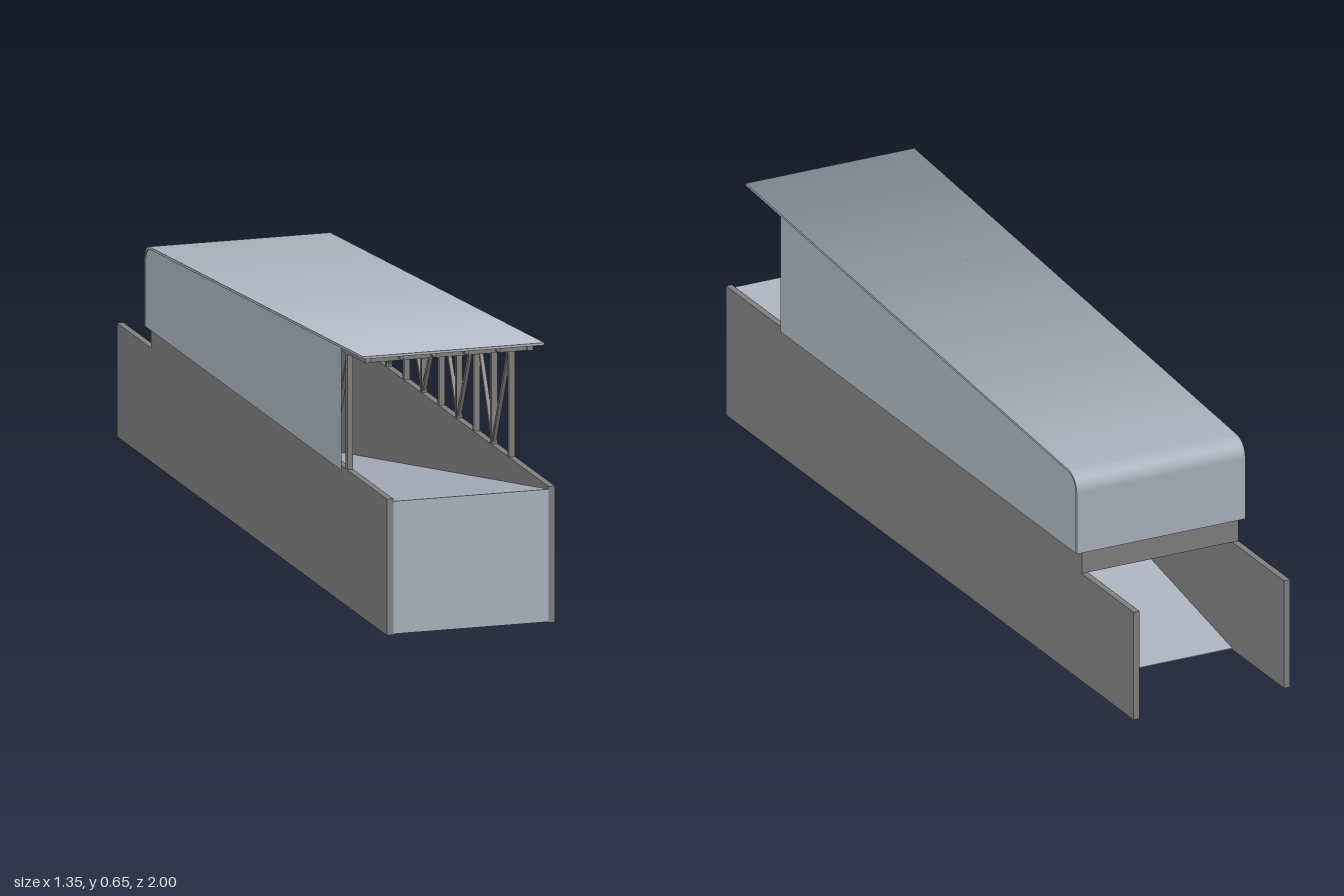
import * as THREE from 'three';
import { mergeGeometries } from 'three/addons/utils/BufferGeometryUtils.js';

const panelMat = new THREE.MeshStandardMaterial({ color: 0xabb3bf });
panelMat.name = 'pale blue grey panel';
const wallMat = new THREE.MeshStandardMaterial({ color: 0x808080 });
wallMat.name = 'concrete grey';
const frameMat = new THREE.MeshStandardMaterial({ color: 0x82807c });
frameMat.name = 'steel frame';

const FRONT = 1.026, STEP = -0.765, WALL_TOP = 0.33, HALF = 0.208, THICK = 0.016;
const ROOF_HALF = 0.224, SHELL = 0.006;
const roofY = (z) => 0.53 + (z + 0.728) * 0.0709;

function add(parent, name, geometry, material) {
  const mesh = new THREE.Mesh(geometry, material);
  mesh.name = name;
  parent.add(mesh);
  return mesh;
}

// Extrudes a (z, y) outline across x from x0 to x1
function sideExtrude(points, x0, x1) {
  const shape = new THREE.Shape(points.map(([z, y]) => new THREE.Vector2(-z, y)));
  return new THREE.ExtrudeGeometry(shape, { depth: x1 - x0, bevelEnabled: false })
    .rotateY(Math.PI / 2).translate(x0, 0, 0);
}

// Square bar between two points
function bar(a, b, w) {
  const p = new THREE.Vector3(...a), q = new THREE.Vector3(...b);
  const o = new THREE.Object3D();
  o.position.copy(p).add(q).multiplyScalar(0.5);
  o.lookAt(q);
  o.updateMatrix();
  return new THREE.BoxGeometry(w, w, p.distanceTo(q)).applyMatrix4(o.matrix);
}

// Strip of quads between two rails with given normals
function ribbon(a, b, n) {
  const pos = [], nor = [], idx = [];
  a.forEach((p, i) => {
    pos.push(...p, ...b[i]);
    nor.push(...n[i], ...n[i]);
    if (i) {
      const k = 2 * i - 2;
      idx.push(k, k + 1, k + 3, k, k + 3, k + 2);
    }
  });
  const g = new THREE.BufferGeometry();
  g.setAttribute('position', new THREE.Float32BufferAttribute(pos, 3));
  g.setAttribute('normal', new THREE.Float32BufferAttribute(nor, 3));
  g.setIndex(idx);
  return g;
}

// Roof profile: long slope, rounded rear corner, vertical rear face
function roofProfile() {
  const slope = Math.atan(0.0709);
  const rows = [{ z: 0.895, y: roofY(0.895), n: [0, Math.cos(slope), -Math.sin(slope)] }];
  for (let i = 0; i <= 10; i++) {
    const t = slope + (Math.PI / 2 - slope) * i / 10;
    const n = [0, Math.cos(t), -Math.sin(t)];
    rows.push({ z: -0.725 + 0.045 * n[2], y: 0.485 + 0.045 * n[1], n });
  }
  rows.push({ z: -0.77, y: WALL_TOP, n: [0, 0, -1] });
  return rows;
}

function roofShell(rows) {
  const outer = (x) => rows.map((r) => [x, r.y, r.z]);
  const inner = (x) => rows.map((r) => [x, r.y - r.n[1] * SHELL, r.z - r.n[2] * SHELL]);
  const flat = (n, count = rows.length) => Array(count).fill(n);
  const w = ROOF_HALF, last = rows.length - 1;
  const oL = outer(-w), oR = outer(w), iL = inner(-w), iR = inner(w);
  // the front lip shades softly into the front edge
  const top = rows.map((r, i) => (i ? r.n : [0, 0.75, 0.66]));
  const under = rows.map((r) => r.n.map((v) => -v));
  return mergeGeometries([
    ribbon(oL, oR, top),
    ribbon(iR, iL, under),
    ribbon(oR, iR, flat([1, 0, 0])),
    ribbon(iL, oL, flat([-1, 0, 0])),
    ribbon([iL[0], oL[0]], [iR[0], oR[0]], flat([0, 0, 1], 2)),
    ribbon([oL[last], iL[last]], [oR[last], iR[last]], flat([0, -1, 0], 2)),
  ]);
}

export function createModel() {
  const model = new THREE.Group();
  model.name = 'coveredRamp';
  const body = new THREE.Group();
  body.name = 'rampBody';
  body.rotation.y = -0.503;
  model.add(body);

  // Stepped retaining walls
  const wall = [[FRONT, 0], [-FRONT, 0], [-FRONT, 0.275], [STEP, 0.275], [STEP, WALL_TOP], [FRONT, WALL_TOP]];
  add(body, 'leftWall', sideExtrude(wall, HALF - THICK, HALF), wallMat);
  add(body, 'rightWall', sideExtrude(wall, -HALF, THICK - HALF), wallMat);

  // Solid ramp descending to the rear opening
  const inside = HALF - THICK;
  add(body, 'ramp', sideExtrude([[FRONT - 0.002, 0.002], [STEP, 0.002], [STEP, 0.004], [FRONT - 0.002, 0.323]],
    -inside, inside), panelMat);

  // Lintel over the rear opening
  add(body, 'rearLintel', new THREE.BoxGeometry(2 * inside, 0.055, THICK)
    .translate(0, 0.3025, STEP + THICK / 2), wallMat);

  // Roof with rounded rear end
  const rows = roofProfile();
  add(body, 'roof', roofShell(rows), panelMat);

  // Outer cladding, one thin face per side
  const edge = [[0.725, WALL_TOP], ...rows.slice(1).reverse().map((r) => [r.z + 0.002, r.y - 0.002]),
    [0.725, roofY(0.725) - 0.002]];
  for (const s of [1, -1]) {
    const shape = new THREE.Shape(edge.map(([z, y]) => new THREE.Vector2(-s * z, y)));
    const g = new THREE.ShapeGeometry(shape).rotateY(s * Math.PI / 2).translate(s * 0.222, 0, 0);
    add(body, s > 0 ? 'leftCladding' : 'rightCladding', g, panelMat);
  }

  // Side trusses: posts, zigzag braces and top chord
  const bays = 11, z0 = 0.716, pitch = 0.133;
  const station = (i) => z0 - i * pitch;
  const chordY = (z) => roofY(z) - 0.016;
  for (const s of [1, -1]) {
    const x = s * 0.2, parts = [];
    for (let i = 0; i <= bays; i++) {
      const z = station(i);
      parts.push(bar([x, WALL_TOP - 0.005, z], [x, chordY(z), z], 0.014));
      if (i < bays) {
        const zn = station(i + 1);
        const ends = i % 2 ? [WALL_TOP, chordY(zn)] : [chordY(z), WALL_TOP];
        parts.push(bar([x, ends[0], z], [x, ends[1], zn], 0.009));
      }
    }
    parts.push(bar([x, chordY(0.86), 0.86], [x, chordY(-0.73), -0.73], 0.014));
    add(body, s > 0 ? 'leftTruss' : 'rightTruss', mergeGeometries(parts), frameMat);
  }

  // Roof grid: cross beams and purlins
  const grid = [];
  for (let i = -1; i <= bays; i++) {
    const z = station(i);
    grid.push(bar([-0.207, chordY(z), z], [0.207, chordY(z), z], 0.013));
  }
  for (let i = 1; i < 5; i++) {
    const x = -0.2 + 0.08 * i;
    grid.push(bar([x, chordY(0.87) + 0.003, 0.87], [x, chordY(-0.73) + 0.003, -0.73], 0.01));
  }
  add(body, 'roofGrid', mergeGeometries(grid), frameMat);

  return model;
}
